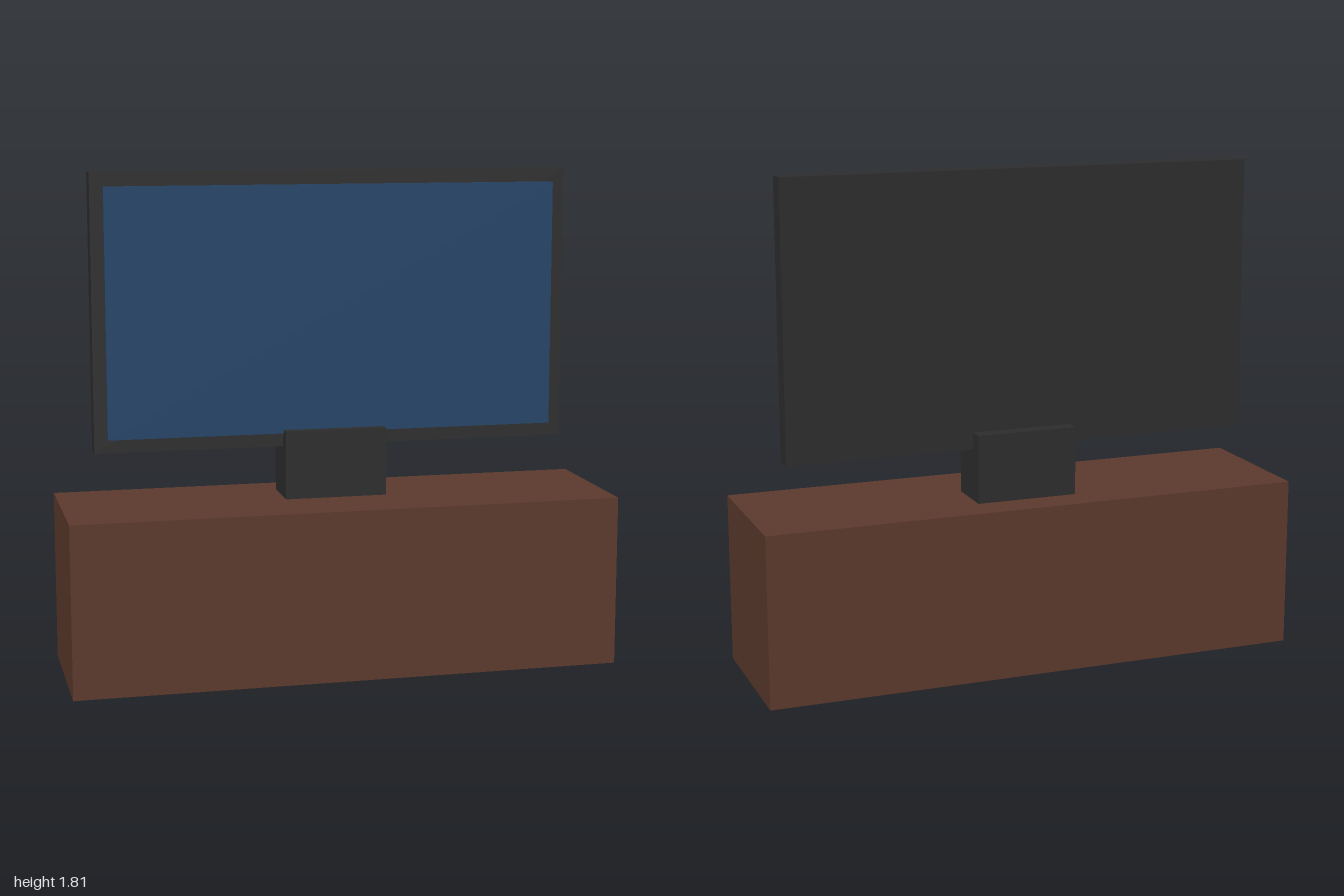
import * as THREE from 'three';

export function createModel() {
  const model = new THREE.Group();
  model.name = 'televisionOnCabinet';

  const material = (name, color) => {
    const m = new THREE.MeshStandardMaterial({ color });
    m.name = name;
    return m;
  };
  const brown = material('brown wood', 0x5c3a2d);
  const dark = material('dark plastic', 0x2d2d2d);
  const blue = material('blue glass', 0x224469);

  // Box standing on height y, centred on x = 0
  const box = (name, mat, w, h, d, y, z) => {
    const mesh = new THREE.Mesh(new THREE.BoxGeometry(w, h, d), mat);
    mesh.name = name;
    mesh.position.set(0, y + h / 2, z);
    model.add(mesh);
  };

  const tvZ = -0.0625;
  box('cabinet', brown, 2, 0.625, 0.5625, 0, 0);
  box('stand', dark, 0.375, 0.25, 0.1875, 0.625, tvZ);
  box('televisionPanel', dark, 1.75, 1, 0.075, 0.8125, tvZ);
  // The screen sits just in front of the panel
  box('screen', blue, 1.656, 0.9, 0.0125, 0.8625, tvZ + 0.05);

  return model;
}
